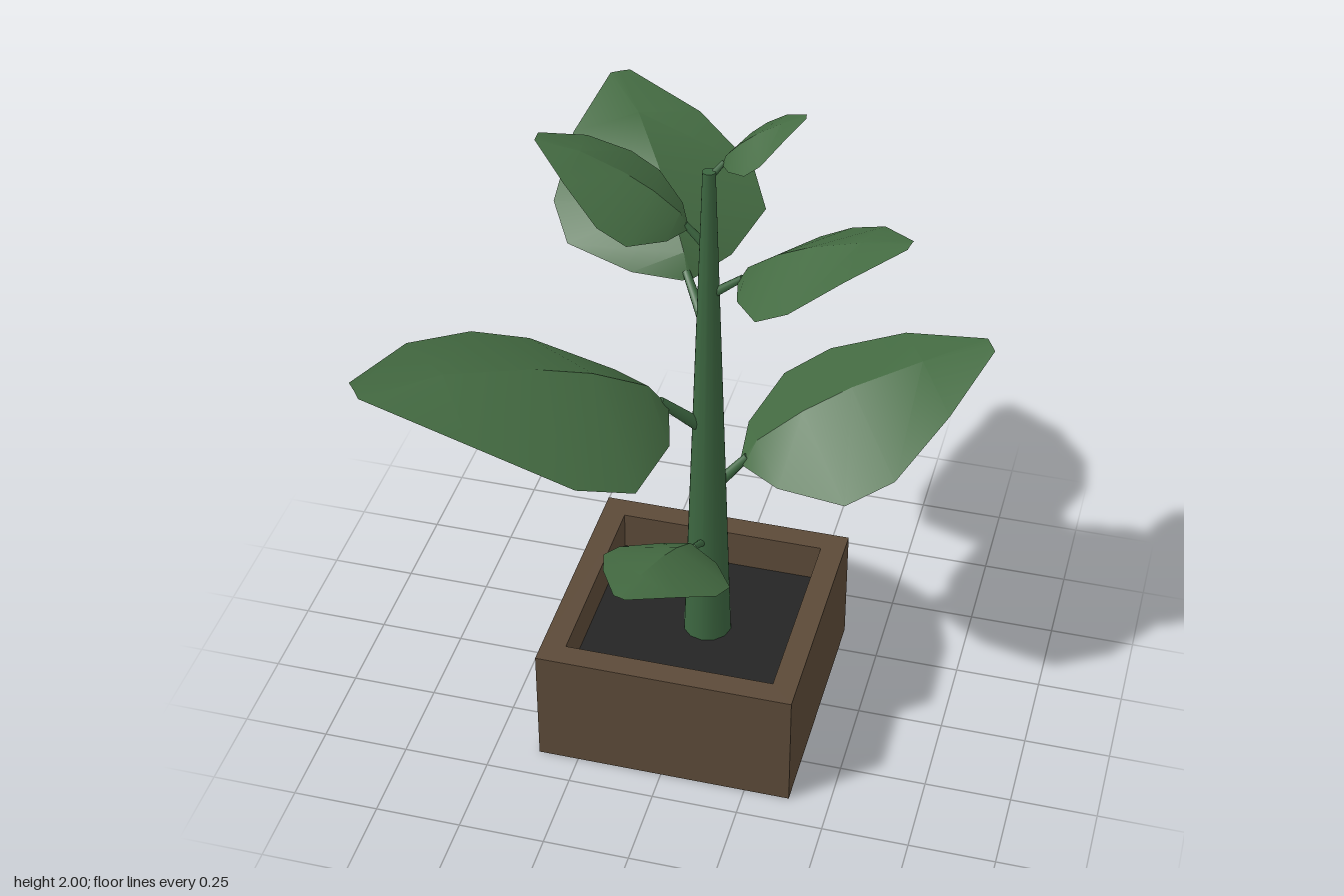
import * as THREE from 'three';
import { toCreasedNormals } from 'three/addons/utils/BufferGeometryUtils.js';

const material = (name, color, side = THREE.FrontSide) => {
  const m = new THREE.MeshStandardMaterial({ color, side });
  m.name = name;
  return m;
};

const STEM_X = 0.037, STEM_Z = 0.013;

// Leaf cross-sections: [distance along, midrib height, edge height, half width]
const LEAF_ROWS = [
  [0.045, -0.04, -0.045, 0.02],
  [0.121, 0.02, -0.049, 0.19],
  [0.303, 0.059, -0.069, 0.38],
  [0.486, 0.07, -0.053, 0.385],
  [0.742, 0.051, -0.008, 0.246],
  [0.98, 0.0, -0.002, 0.038],
];

// Tent-shaped blade folded along the midrib, growing along +x
function leafGeometry() {
  const positions = [], index = [];
  LEAF_ROWS.forEach(([along, mid, edge, w], i) => {
    positions.push(along, edge, -w, along, mid, 0, along, edge, w);
    if (i === 0) return;
    for (let j = 0; j < 2; j++) {
      const a = (i - 1) * 3 + j, c = i * 3 + j;
      index.push(a, a + 1, c, a + 1, c + 1, c);
    }
  });
  const g = new THREE.BufferGeometry();
  g.setAttribute('position', new THREE.Float32BufferAttribute(positions, 3));
  g.setIndex(index);
  return toCreasedNormals(g, 0.5);
}

// Leaves from bottom to top: base point, heading (x, z), pitch in degrees, size
const LEAVES = [
  { base: [0.035, 0.65, 0.1], heading: [-0.25, 0.97], pitch: 15, size: 0.47 },
  { base: [0.085, 0.875, 0.0], heading: [0.878, -0.478], pitch: 19, size: 0.83 },
  { base: [-0.02, 1.125, 0.05], heading: [-0.78, 0.63], pitch: 17.5, size: 1 },
  { base: [-0.03, 1.41, -0.07], heading: [-0.533, -0.846], pitch: 22, size: 0.76 },
  { base: [0.09, 1.515, 0.015], heading: [0.98, 0.17], pitch: 25, size: 0.575 },
  { base: [0.01, 1.655, 0.015], heading: [-1, 0.04], pitch: 27, size: 0.5 },
  { base: [0.05, 1.845, -0.01], heading: [0.99, -0.15], pitch: 33.7, size: 0.285 },
];

// Tapered rod between two points
function rod(from, to, r0, r1, mat) {
  const dir = to.clone().sub(from);
  const mesh = new THREE.Mesh(new THREE.CylinderGeometry(r1, r0, dir.length(), 8), mat);
  mesh.position.copy(from).add(to).multiplyScalar(0.5);
  mesh.quaternion.setFromUnitVectors(new THREE.Vector3(0, 1, 0), dir.normalize());
  return mesh;
}

export function createModel() {
  const model = new THREE.Group();
  model.name = 'pottedPlant';
  const wood = material('potBrown', 0x5c4a38);
  const earth = material('soilBlack', 0x242424);
  const stemGreen = material('stemGreen', 0x3c6640);
  const leafGreen = material('leafGreen', 0x446b42, THREE.DoubleSide);

  const add = (name, geometry, mat, x, y, z, parent = model) => {
    const mesh = new THREE.Mesh(geometry, mat);
    mesh.name = name;
    mesh.position.set(x, y, z);
    parent.add(mesh);
    return mesh;
  };

  // Square pot with open top
  const square = (Type, h) => new Type([[-h, -h], [h, -h], [h, h], [-h, h]].map(([x, y]) => new THREE.Vector2(x, y)));
  const outline = square(THREE.Shape, 0.375);
  outline.holes.push(square(THREE.Path, 0.305));
  const walls = new THREE.ExtrudeGeometry(outline, { depth: 0.37, bevelEnabled: false }).rotateX(-Math.PI / 2);
  const potX = 0.007, potZ = 0.033;
  add('potWalls', walls, wood, potX, 0, potZ);
  add('potFloor', new THREE.BoxGeometry(0.61, 0.04, 0.61), wood, potX, 0.02, potZ);
  add('soil', new THREE.BoxGeometry(0.61, 0.21, 0.61), earth, potX, 0.145, potZ);

  // Tapered stem
  add('stem', new THREE.CylinderGeometry(0.018, 0.071, 1.58, 12), stemGreen, STEM_X, 1.04, STEM_Z);

  // Leaves with their stalks
  const blade = leafGeometry();
  for (const { base, heading, pitch, size } of LEAVES) {
    const leaf = new THREE.Group();
    leaf.name = 'leaf';
    const mesh = add('leafBlade', blade, leafGreen, ...base, leaf);
    mesh.rotation.set(0, Math.atan2(-heading[1], heading[0]), THREE.MathUtils.degToRad(pitch), 'YZX');
    mesh.scale.setScalar(size);
    mesh.updateMatrix();
    const end = new THREE.Vector3(0.07, -0.03, 0).applyMatrix4(mesh.matrix);
    const start = new THREE.Vector3(STEM_X, Math.min(end.y - 0.14 * size, 1.81), STEM_Z);
    const stalk = rod(start, end, 0.006 + 0.015 * size, 0.004 + 0.01 * size, stemGreen);
    stalk.name = 'leafStalk';
    leaf.add(stalk);
    model.add(leaf);
  }
  return model;
}
